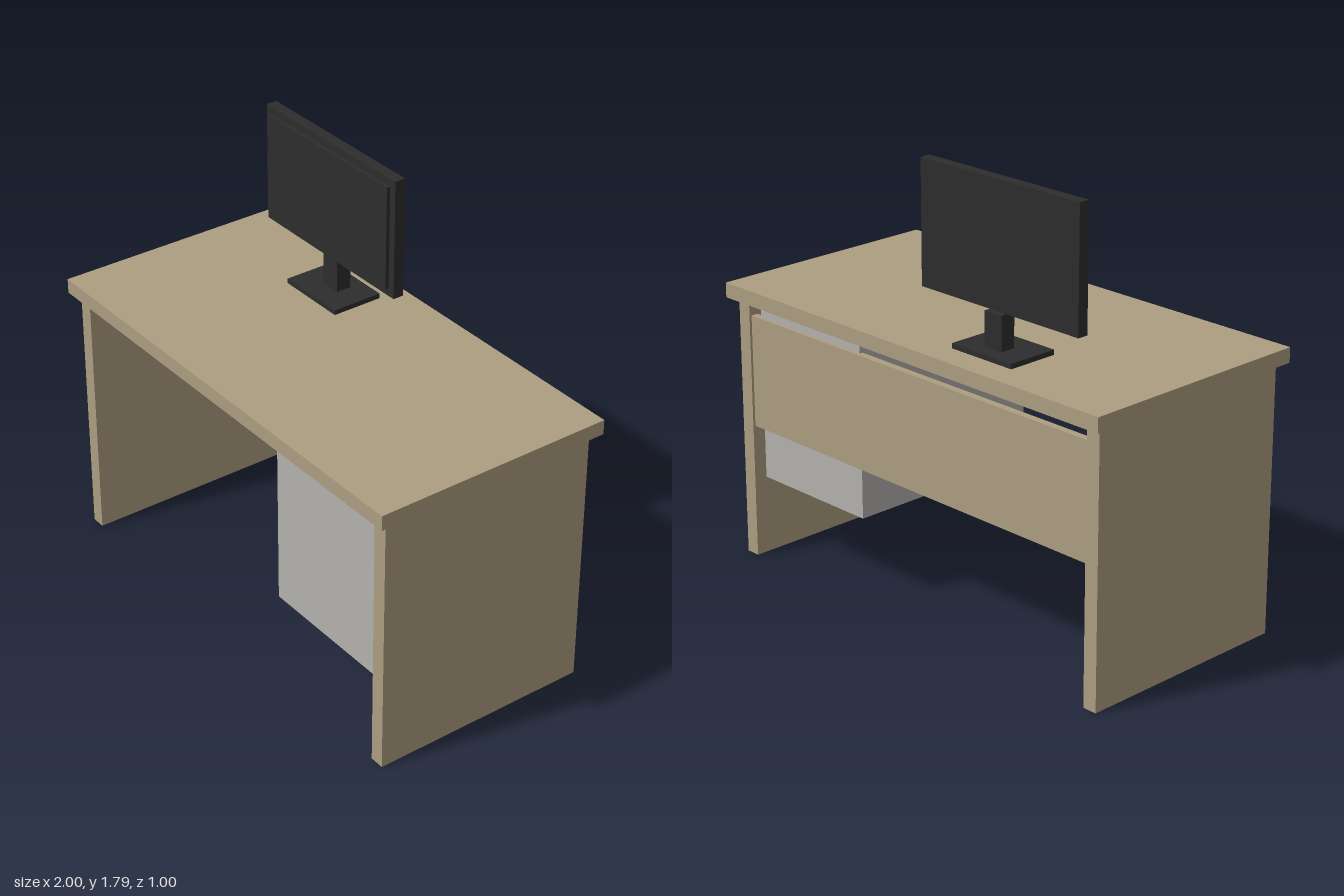
import * as THREE from 'three';

const makeMaterial = (name, color) => {
  const m = new THREE.MeshStandardMaterial({ color });
  m.name = name;
  return m;
};

export function createModel() {
  const wood = makeMaterial('wood', 0xad9e81);
  const grey = makeMaterial('greyMetal', 0xb4b2ae);
  const black = makeMaterial('blackPlastic', 0x2d2d2d);

  // Box given by its limits on each axis
  const box = (name, material, [x0, x1], [y0, y1], [z0, z1]) => {
    const mesh = new THREE.Mesh(new THREE.BoxGeometry(x1 - x0, y1 - y0, z1 - z0), material);
    mesh.position.set((x0 + x1) / 2, (y0 + y1) / 2, (z0 + z1) / 2);
    mesh.name = name;
    return mesh;
  };

  // Desk: top, two end panels, back panel and hanging cabinet
  const desk = new THREE.Group();
  desk.name = 'desk';
  desk.add(
    box('desktop', wood, [-1, 1], [1.08, 1.14], [-0.5, 0.5]),
    box('leftEndPanel', wood, [0.91, 0.97], [0, 1.08], [-0.46, 0.46]),
    box('rightEndPanel', wood, [-0.97, -0.91], [0, 1.08], [-0.46, 0.46]),
    box('backPanel', wood, [-0.91, 0.91], [0.555, 1.015], [-0.45, -0.42]),
    box('cabinet', grey, [0.29, 0.87], [0.345, 1.045], [-0.435, 0.425]),
  );

  // Monitor on its stand
  const monitor = new THREE.Group();
  monitor.name = 'monitor';
  monitor.add(
    box('standBase', black, [-0.465, -0.16], [1.14, 1.16], [-0.385, -0.17]),
    box('standNeck', black, [-0.355, -0.268], [1.16, 1.297], [-0.325, -0.262]),
    box('monitorBody', black, [-0.71, 0.09], [1.297, 1.787], [-0.3, -0.255]),
    box('screen', black, [-0.68, 0.06], [1.33, 1.755], [-0.255, -0.24]),
  );

  const model = new THREE.Group();
  model.name = 'deskWithMonitor';
  model.add(desk, monitor);
  return model;
}
